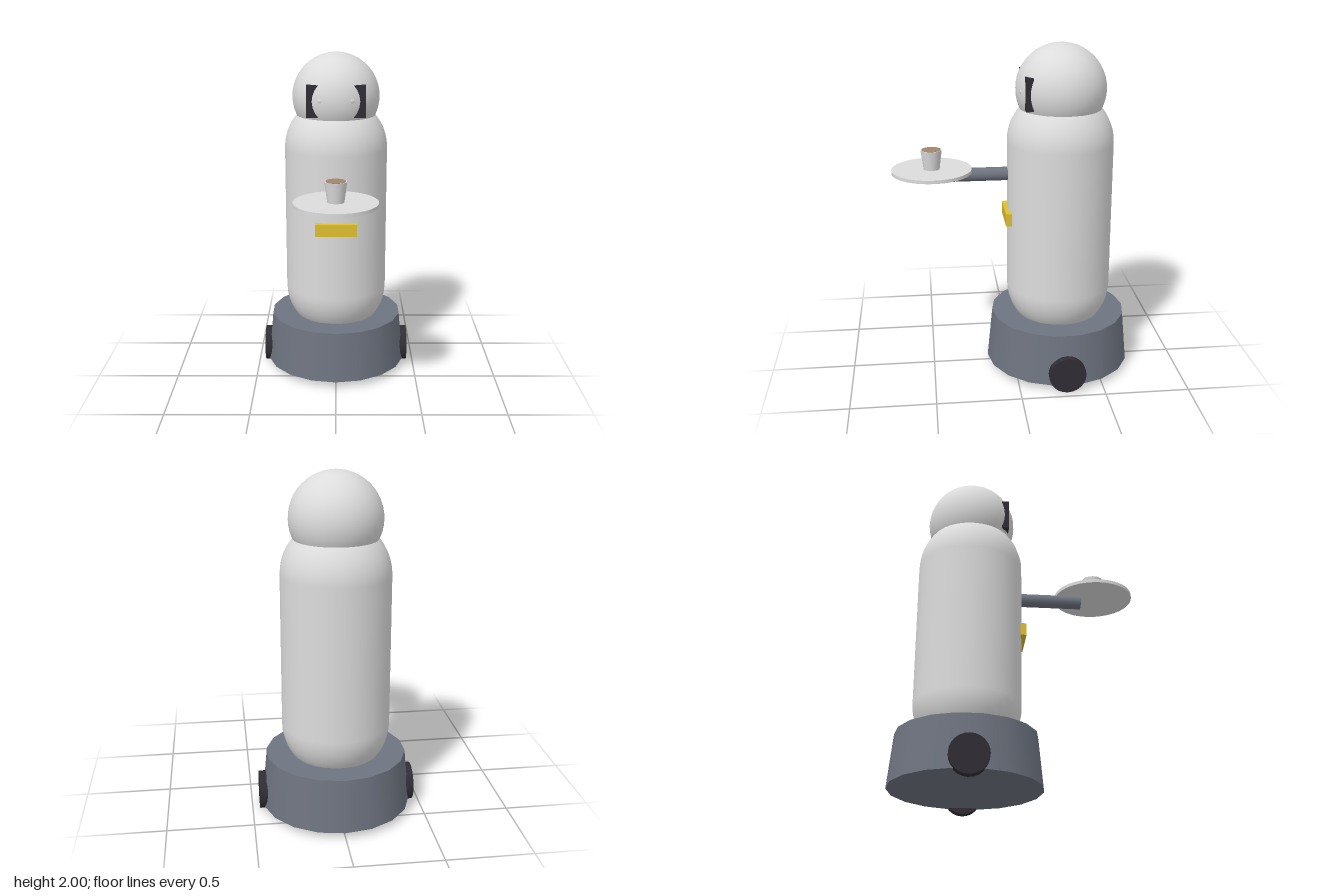
import * as THREE from 'three';

const mat = (name, color) => {
  const m = new THREE.MeshStandardMaterial({ color });
  m.name = name;
  return m;
};

export function createModel() {
  const shell = mat('light grey shell', 0xdcdcdc);
  const slate = mat('slate grey', 0x6e7480);
  const dark = mat('near black', 0x302e35);
  const yellow = mat('yellow', 0xdfc030);
  const brown = mat('coffee brown', 0xa0856a);

  const robot = new THREE.Group();
  robot.name = 'servingRobot';
  const add = (name, geometry, material, x, y, z, parent = robot) => {
    const mesh = new THREE.Mesh(geometry, material);
    mesh.name = name;
    mesh.position.set(x, y, z);
    parent.add(mesh);
    return mesh;
  };
  const Z = -0.278; // axis of base, body and head

  // Tapered base with a wheel on each side
  add('base', new THREE.CylinderGeometry(0.41, 0.44, 0.31, 18), slate, 0, 0.191, Z);
  for (const s of [1, -1]) {
    const wheel = add(s > 0 ? 'leftWheel' : 'rightWheel',
      new THREE.CylinderGeometry(0.11, 0.11, 0.06, 24), dark, s * 0.427, 0.11, Z);
    wheel.rotation.z = Math.PI / 2;
  }

  // Rounded body and head
  add('body', new THREE.CapsuleGeometry(0.315, 0.89, 12, 32), shell, 0, 0.975, Z);
  add('head', new THREE.SphereGeometry(0.265, 32, 24), shell, 0, 1.735, Z);

  // Face plate whose corners stand out of the head, and two faint eyes
  add('facePlate', new THREE.BoxGeometry(0.35, 0.19, 0.044), dark, 0, 1.735, -0.077);
  for (const s of [1, -1]) {
    add(s > 0 ? 'leftEye' : 'rightEye',
      new THREE.SphereGeometry(0.025, 12, 8), shell, s * 0.09, 1.74, -0.052);
  }

  // Chest badge
  add('chestBadge', new THREE.BoxGeometry(0.25, 0.075, 0.034), yellow, 0, 0.98, 0.038);

  // Arm holding a tray with a cup
  const arm = add('arm', new THREE.CylinderGeometry(0.04, 0.04, 0.5, 16), slate, 0, 1.232, 0.15);
  arm.rotation.x = Math.PI / 2;
  const service = new THREE.Group();
  service.name = 'trayAndCup';
  service.position.set(0, 1.265, 0.48);
  robot.add(service);
  add('tray', new THREE.CylinderGeometry(0.235, 0.235, 0.02, 48), shell, 0, 0, 0, service);
  add('cup', new THREE.CylinderGeometry(0.062, 0.047, 0.115, 24), shell, 0, 0.0675, 0, service);
  add('coffee', new THREE.CylinderGeometry(0.056, 0.056, 0.004, 24), brown, 0, 0.125, 0, service);

  return robot;
}
